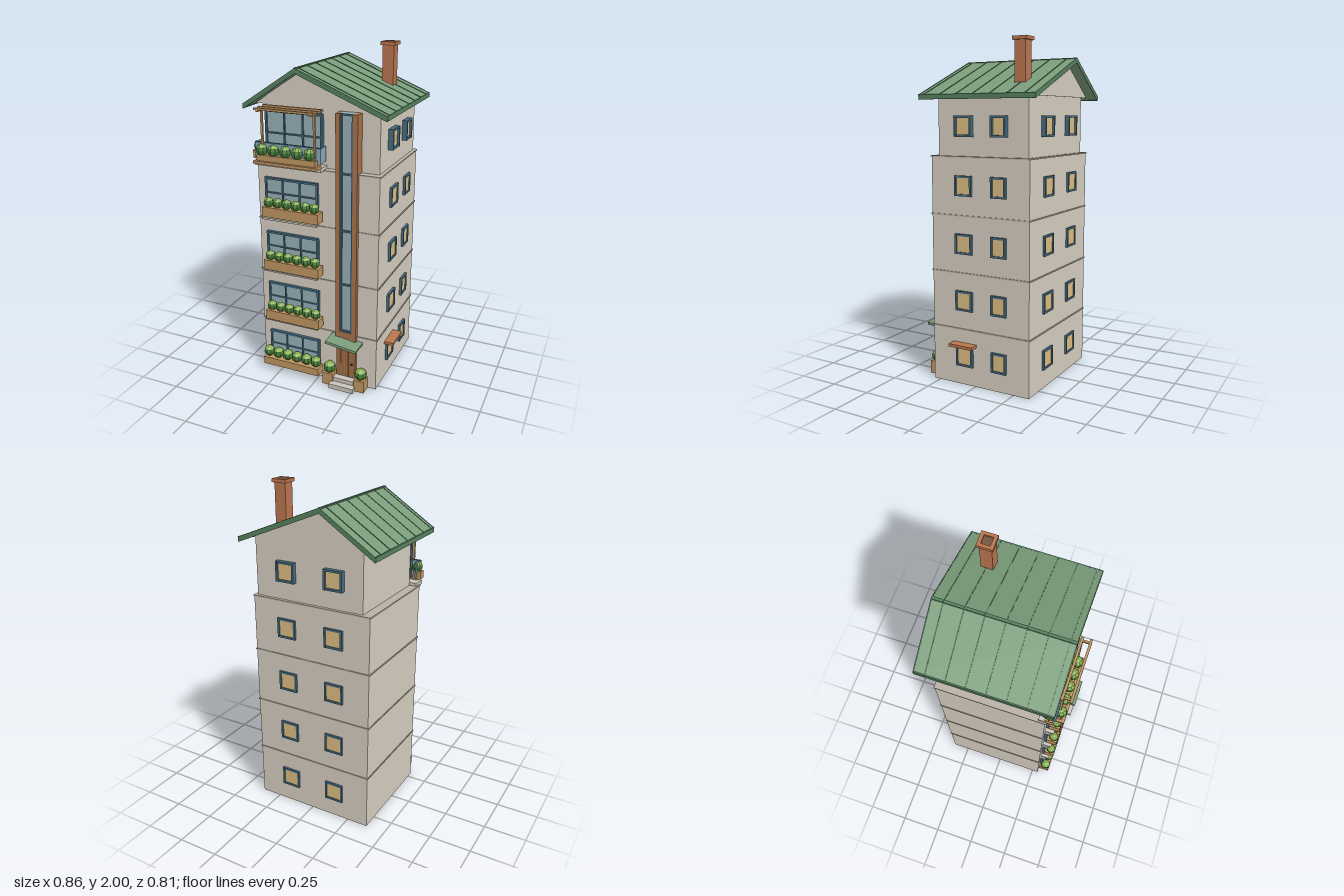
import * as THREE from 'three';

const mat = (color) => new THREE.MeshStandardMaterial({ color, flatShading: true });
const M = {
  wall: mat(0xd5ccbf), stone: mat(0xc9c4ba), band: mat(0xb9b1a5), roof: mat(0x7a9c7a), trim: mat(0x56805e),
  wood: mat(0xbd935f), brown: mat(0xa8714a), door: mat(0x9a6a42), dark: mat(0x3a3530), frame: mat(0x456a80),
  glass: mat(0x93adb3), rail: mat(0x86a9b8), warm: mat(0xd9bb80), brick: mat(0xb9754f), flue: mat(0x76573f),
  leaf: mat(0x467d38), leafTop: mat(0x86ad4f),
};

// Box given by its low and high corners
function box(parent, name, m, x0, x1, y0, y1, z0, z1) {
  const mesh = new THREE.Mesh(new THREE.BoxGeometry(x1 - x0, y1 - y0, z1 - z0), m);
  mesh.position.set((x0 + x1) / 2, (y0 + y1) / 2, (z0 + z1) / 2);
  mesh.name = name;
  parent.add(mesh);
  return mesh;
}

function extrude(parent, name, m, pts, z0, z1) {
  const shape = new THREE.Shape(pts.map(([x, y]) => new THREE.Vector2(x, y)));
  const mesh = new THREE.Mesh(new THREE.ExtrudeGeometry(shape, { depth: z1 - z0, bevelEnabled: false }), m);
  mesh.position.z = z0;
  mesh.name = name;
  parent.add(mesh);
}

// Framed window facing +z, centred on its own origin, back at z = 0
function makeWindow(name, w, h, depth, cols, rows, glass) {
  const g = new THREE.Group(), t = 0.012;
  g.name = name;
  box(g, 'pane', glass, -w / 2, w / 2, -h / 2, h / 2, 0, depth * 0.6);
  for (let i = 0; i <= cols; i++) {
    const x = -w / 2 + (w * i) / cols, s = i % cols ? t * 0.35 : t / 2;
    box(g, 'upright', M.frame, x - s, x + s, -h / 2 - t / 2, h / 2 + t / 2, 0, depth);
  }
  for (let i = 0; i <= rows; i++) {
    const y = -h / 2 + (h * i) / rows, s = i % rows ? t * 0.35 : t / 2;
    box(g, 'crossbar', M.frame, -w / 2, w / 2, y - s, y + s, 0, depth * 0.95);
  }
  return g;
}

// Round clipped bush with a lighter crown
function bush(parent, x, y, z, r) {
  const g = new THREE.Group();
  g.name = 'bush';
  const low = new THREE.Mesh(new THREE.SphereGeometry(r, 8, 4, 0, Math.PI * 2, Math.PI / 3, Math.PI * 2 / 3), M.leaf);
  const top = new THREE.Mesh(new THREE.SphereGeometry(r, 8, 2, 0, Math.PI * 2, 0, Math.PI / 3), M.leafTop);
  low.name = 'foliage';
  top.name = 'crown';
  g.add(low, top);
  g.position.set(x, y, z);
  parent.add(g);
}

function bushRow(parent, n, x0, x1, y, z, r) {
  for (let i = 0; i < n; i++) bush(parent, x0 + ((x1 - x0) * i) / (n - 1), y, z, r);
}

export function createModel() {
  const model = new THREE.Group();
  model.name = 'apartmentTower';
  const F = 0.335; // storey height
  const group = (name) => {
    const g = new THREE.Group();
    g.name = name;
    model.add(g);
    return g;
  };

  // Walls, storey bands and gabled top floor
  box(model, 'mainWalls', M.wall, -0.38, 0.372, 0, 4 * F, -0.35, 0.29);
  for (let i = 1; i <= 4; i++)
    box(model, 'storeyBand', M.band, -0.384, 0.377, i * F - 0.004, i * F + 0.004, -0.354, 0.294);
  extrude(model, 'topFloorWalls', M.wall,
    [[-0.33, 1.34], [0.355, 1.34], [0.355, 1.69], [-0.105, 1.88], [-0.33, 1.73]], -0.335, 0.25);
  extrude(model, 'gable', M.wall, [[-0.4, 1.68], [0.38, 1.68], [-0.105, 1.88]], -0.34, 0.255);

  // Roof with verge trim, seams and ridge
  const roof = group('roof');
  const ridge = [-0.105, 1.9], eaves = [[-0.43, 1.688], [0.42, 1.688]];
  const chevron = (d, t) => [[-0.43, 1.688 + d], [-0.43, 1.688 - t], [-0.105, 1.9 - t],
    [0.42, 1.688 - t], [0.42, 1.688 + d], [-0.105, 1.9 + d]];
  extrude(roof, 'roofSlab', M.roof, chevron(0, 0.024), -0.4, 0.335);
  for (const [a, b] of [[-0.405, -0.4], [0.335, 0.342]])
    extrude(roof, 'vergeTrim', M.trim, chevron(0.002, 0.028), a, b);
  for (const [ex, ey] of eaves) {
    const dx = ex - ridge[0], dy = ey - ridge[1], len = Math.hypot(dx, dy);
    for (let i = 0; i < 7; i++) {
      const seam = new THREE.Mesh(new THREE.BoxGeometry(len, 0.006, 0.005), M.trim);
      seam.name = 'roofSeam';
      seam.position.set((ex + ridge[0]) / 2, (ey + ridge[1]) / 2, -0.342 + i * 0.108);
      seam.rotation.z = Math.atan2(dy, dx);
      roof.add(seam);
    }
    box(roof, 'eaveTrim', M.trim, ex - 0.004, ex + 0.004, 1.662, 1.69, -0.404, 0.34);
  }
  box(roof, 'ridgeCap', M.trim, -0.113, -0.097, 1.888, 1.902, -0.404, 0.34);

  // Chimney
  const chimney = group('chimney');
  box(chimney, 'stack', M.brick, 0.193, 0.262, 1.74, 1.985, -0.263, -0.195);
  for (const [a, b, c, d] of [[0.183, 0.272, -0.275, -0.255], [0.183, 0.272, -0.205, -0.185],
    [0.183, 0.202, -0.255, -0.205], [0.253, 0.272, -0.255, -0.205]])
    box(chimney, 'cap', M.brick, a, b, 1.98, 2.0, c, d);
  box(chimney, 'flue', M.flue, 0.2, 0.255, 1.98, 1.99, -0.257, -0.203);

  // Front windows with sills, planter boxes and bushes
  for (let i = 0; i < 4; i++) {
    const y = i * F, bay = group('frontBay');
    const w = makeWindow('frontWindow', 0.325, 0.17, 0.02, 3, 2, M.glass);
    w.position.set(-0.162, y + 0.168, 0.288);
    bay.add(w);
    if (i === 0) {
      box(bay, 'planter', M.wood, -0.355, 0.022, 0.04, 0.088, 0.29, 0.36);
      bushRow(bay, 6, -0.33, -0.005, 0.122, 0.33, 0.034);
    } else {
      box(bay, 'ledge', M.stone, -0.35, 0.005, y + 0.002, y + 0.02, 0.28, 0.325);
      box(bay, 'sill', M.stone, -0.34, 0.015, y + 0.02, y + 0.036, 0.28, 0.345);
      box(bay, 'planter', M.wood, -0.32, 0.035, y + 0.038, y + 0.098, 0.306, 0.37);
      bushRow(bay, 6, -0.29, 0.002, y + 0.122, 0.342, 0.03);
    }
  }

  // Side and back windows
  for (let i = 0; i < 5; i++) {
    const y = i * F + 0.172, top = i === 4;
    for (const [z, w] of [[0.072, 0.1], [-0.158, 0.085]]) {
      const g = makeWindow('sideWindow', w, 0.105, top ? 0.034 : 0.017, 1, 1, M.warm);
      g.position.set(top ? 0.352 : 0.37, y, z);
      g.rotation.y = Math.PI / 2;
      model.add(g);
    }
    for (const x of [0.15, -0.157]) {
      const g = makeWindow('backWindow', 0.105, 0.105, top ? 0.03 : 0.015, 1, 1, M.warm);
      g.position.set(x, y, top ? -0.333 : -0.348);
      g.rotation.y = Math.PI;
      model.add(g);
    }
  }
  box(model, 'sideAwning', M.brick, 0.37, 0.43, 0.238, 0.255, -0.008, 0.15);

  // Tall stair window in a timber surround
  const stair = group('stairWindow');
  for (const [a, b] of [[0.12, 0.146], [0.222, 0.25]])
    box(stair, 'timberJamb', M.brown, a, b, 0.26, 1.675, 0.25, 0.315);
  box(stair, 'timberBase', M.brown, 0.146, 0.222, 0.26, 0.36, 0.25, 0.312);
  box(stair, 'pane', M.glass, 0.146, 0.222, 0.36, 1.675, 0.25, 0.298);
  for (const x of [0.15, 0.218]) box(stair, 'upright', M.frame, x - 0.005, x + 0.005, 0.36, 1.675, 0.29, 0.31);
  for (const y of [0.364, 0.67, 1.005, 1.34, 1.67])
    box(stair, 'crossbar', M.frame, 0.146, 0.222, y - 0.005, y + 0.005, 0.29, 0.308);

  // Entrance: door, steps, tilted canopy and potted bushes
  const entry = group('entrance');
  box(entry, 'door', M.door, 0.125, 0.247, 0.05, 0.265, 0.285, 0.31);
  for (let i = 1; i < 5; i++)
    box(entry, 'doorGroove', M.brown, 0.124 + i * 0.025, 0.127 + i * 0.025, 0.055, 0.26, 0.305, 0.313);
  box(entry, 'doorLintel', M.frame, 0.122, 0.25, 0.263, 0.272, 0.285, 0.316);
  box(entry, 'doorKnob', M.dark, 0.22, 0.23, 0.145, 0.155, 0.31, 0.32);
  box(entry, 'lowerStep', M.stone, 0.105, 0.262, 0, 0.03, 0.28, 0.39);
  box(entry, 'upperStep', M.stone, 0.118, 0.25, 0.03, 0.055, 0.28, 0.35);
  box(entry, 'canopy', M.roof, 0.088, 0.286, 0.301, 0.317, 0.285, 0.402).rotation.z = -0.13;
  for (const x of [0.085, 0.288]) {
    box(entry, 'pot', M.wood, x - 0.033, x + 0.033, 0, 0.078, 0.292, 0.358);
    bush(entry, x, 0.108, 0.326, 0.038);
  }

  // Top balcony: window, glass rail, planter shelf and pergola
  const balcony = group('balcony');
  const w = makeWindow('balconyWindow', 0.345, 0.25, 0.025, 3, 2, M.glass);
  w.position.set(-0.156, 1.52, 0.248);
  balcony.add(w);
  box(balcony, 'balconyFloor', M.stone, -0.375, 0.04, 1.34, 1.362, 0.25, 0.335);
  box(balcony, 'glassRail', M.rail, -0.36, 0.045, 1.39, 1.478, 0.335, 0.343);
  for (const x of [-0.358, 0.04]) box(balcony, 'sideRail', M.rail, x - 0.004, x + 0.004, 1.39, 1.478, 0.27, 0.343);
  box(balcony, 'handrail', M.frame, -0.362, 0.046, 1.475, 1.482, 0.334, 0.345);
  box(balcony, 'planterShelf', M.wood, -0.355, 0.038, 1.362, 1.378, 0.315, 0.387);
  box(balcony, 'planter', M.wood, -0.34, 0.025, 1.378, 1.412, 0.343, 0.37);
  bushRow(balcony, 5, -0.315, -0.018, 1.44, 0.354, 0.034);
  box(balcony, 'cornerPot', M.wood, -0.385, -0.335, 1.378, 1.425, 0.285, 0.33);
  bush(balcony, -0.357, 1.45, 0.308, 0.03);
  for (const x of [-0.31, 0.012]) {
    box(balcony, 'pergolaPost', M.wood, x - 0.006, x + 0.006, 1.375, 1.672, 0.343, 0.355);
    box(balcony, 'pergolaRafter', M.wood, x - 0.006, x + 0.006, 1.662, 1.674, 0.25, 0.4);
  }
  for (const z of [0.295, 0.348, 0.395])
    box(balcony, 'pergolaSlat', M.wood, -0.33, 0.028, 1.672, 1.684, z - 0.007, z + 0.007);

  return model;
}
